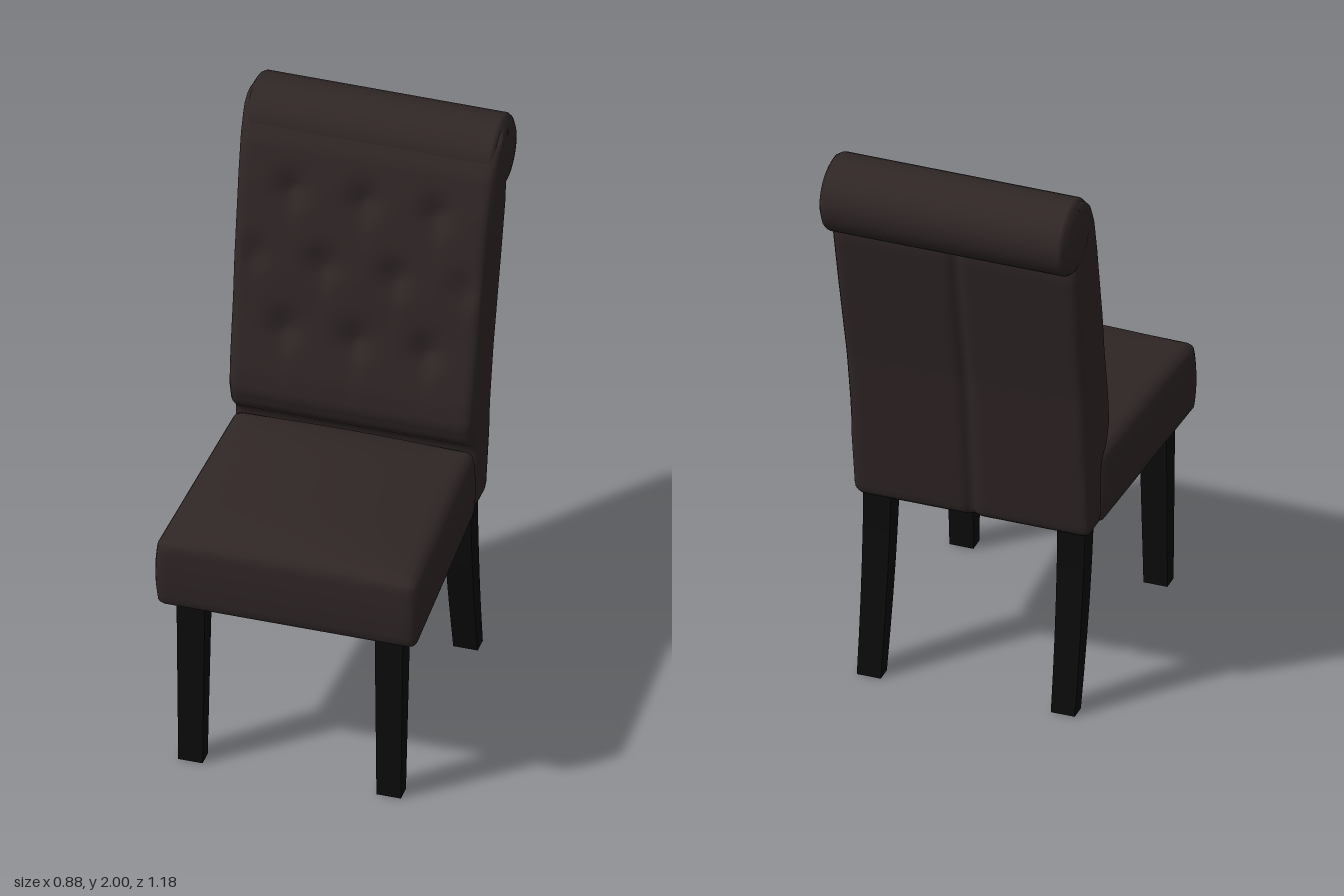
import * as THREE from 'three';
import { mergeVertices } from 'three/addons/utils/BufferGeometryUtils.js';

const fabric = new THREE.MeshStandardMaterial({ name: 'dark brown upholstery', color: 0x302626 });
const wood = new THREE.MeshStandardMaterial({ name: 'black wood', color: 0x0b0b0b, flatShading: true });
const lining = new THREE.MeshStandardMaterial({ name: 'olive lining', color: 0x3a301e });

// Linear interpolation through [y, value] pairs
function along(points, y) {
  for (let i = 1; i < points.length; i++) {
    const [y0, a] = points[i - 1], [y1, b] = points[i];
    if (y <= y1) return a + (b - a) * Math.max(0, (y - y0) / (y1 - y0));
  }
  return points[points.length - 1][1];
}

// Box with rounded edges whose vertices are then moved by a rule
function cushion(size, segments, radius, warp) {
  let geo = new THREE.BoxGeometry(...size, ...segments);
  geo.deleteAttribute('normal');
  geo.deleteAttribute('uv');
  const inner = new THREE.Vector3(...size).multiplyScalar(0.5).subScalar(radius);
  const pos = geo.attributes.position;
  const p = new THREE.Vector3(), core = new THREE.Vector3();
  for (let i = 0; i < pos.count; i++) {
    p.fromBufferAttribute(pos, i);
    core.copy(p).clamp(inner.clone().negate(), inner);
    p.sub(core).setLength(radius).add(core);
    warp(p);
    pos.setXYZ(i, p.x, p.y, p.z);
  }
  geo = mergeVertices(geo);
  geo.computeVertexNormals();
  return geo;
}

// Seat: tapers towards the back, domed on top, slightly bulging sides
function seatGeometry() {
  return cushion([0.86, 0.255, 0.77], [32, 12, 32], 0.025, (p) => {
    const nx = p.x / 0.43, ny = p.y / 0.1275, nz = p.z / 0.385;
    const dome = ny > 0 ? ny * 0.048 * (1 - nx * nx) * (1 - nz ** 4) : 0;
    const bulge = 0.01 * (1 - ny * ny);
    p.x = nx * (0.416 + 0.017 * nz + bulge);
    p.z = 0.2 + p.z + (nz > 0 ? nz * bulge * 0.7 : 0);
    p.y += 0.7525 + dome;
  });
}

// Button positions on the tufted front, in staggered rows
const buttons = [];
[1.24, 1.48, 1.72].forEach((y, row) => {
  const xs = row % 2 ? [-0.36, -0.12, 0.12, 0.36] : [-0.24, 0, 0.24];
  xs.forEach((x) => buttons.push([x, y]));
});

function tuft(x, y) {
  let depth = 0;
  for (const [bx, by] of buttons) {
    const dx = x - bx, dy = y - by;
    depth += 0.024 * Math.exp(-(dx * dx + dy * dy) / 0.003);
    // soft pleat running down from each button
    if (dy < 0) depth += 0.008 * Math.exp(-(dx * dx) / 0.0006) * Math.exp(-(dy * dy) / 0.015);
  }
  return depth;
}

const frontCurve = [[0.64, -0.195], [0.88, -0.195], [0.93, -0.14], [1.0, -0.12], [1.08, -0.13],
  [1.17, -0.15], [1.3, -0.18], [1.45, -0.205], [1.6, -0.24], [1.73, -0.27], [1.86, -0.31],
  [1.94, -0.355], [1.97, -0.39], [1.99, -0.43]];
const rearCurve = [[0.64, -0.305], [0.9, -0.335], [1.2, -0.37], [1.5, -0.43], [1.7, -0.465], [1.99, -0.465]];

// Backrest panel between the front and rear curves
function backGeometry() {
  return cushion([0.84, 1.35, 0.2], [56, 64, 8], 0.035, (p) => {
    const y = p.y + 1.315, nx = p.x / 0.42, nz = p.z / 0.1;
    const t = (y - 0.64) / 1.35;
    let front = along(frontCurve, y), rear = along(rearCurve, y);
    front -= tuft(p.x, y) * (1 - nx ** 6);
    // centre seam in the rear cover
    rear += 0.014 * Math.exp(-(p.x * p.x) / 0.0003);
    p.z = rear + (front - rear) * (nz + 1) / 2;
    p.x = nx * (0.405 + 0.027 * t);
    p.y = y;
  });
}

// Rolled top of the backrest, a bolster with soft ends
function rollGeometry() {
  const end = [[0, 0.437], [0.06, 0.435], [0.1, 0.426], [0.122, 0.414], [0.13, 0.4]];
  const profile = [...end.map(([r, x]) => [r, -x]), ...[...end].reverse()];
  const geo = new THREE.LatheGeometry(profile.map(([r, x]) => new THREE.Vector2(r, x)), 32);
  return geo.rotateZ(Math.PI / 2);
}

// Square leg: centre line and half depth given along the height
function legGeometry(centre, halfDepth) {
  const geo = new THREE.BoxGeometry(2, 0.64, 2, 1, 10, 1).translate(0, 0.32, 0);
  const pos = geo.attributes.position;
  for (let i = 0; i < pos.count; i++) {
    const y = pos.getY(i);
    pos.setX(i, pos.getX(i) * (0.041 + 0.01 * y));
    pos.setZ(i, along(centre, y) + pos.getZ(i) * along(halfDepth, y));
  }
  geo.computeVertexNormals();
  return geo;
}

export function createModel() {
  const group = new THREE.Group();
  const add = (name, geo, mat, x = 0, y = 0, z = 0) => {
    const mesh = new THREE.Mesh(geo, mat);
    mesh.name = name;
    mesh.position.set(x, y, z);
    group.add(mesh);
  };

  add('seat', seatGeometry(), fabric);
  add('backrest', backGeometry(), fabric);
  add('backrestRoll', rollGeometry(), fabric, 0, 1.87, -0.46);

  // Lining under the seat
  const outline = new THREE.Shape([[-0.39, -0.56], [0.39, -0.56], [0.37, 0.16], [-0.37, 0.16]]
    .map(([x, y]) => new THREE.Vector2(x, y)));
  const plate = new THREE.ExtrudeGeometry(outline, { depth: 0.006, bevelEnabled: false });
  add('seatLining', plate.rotateX(-Math.PI / 2), lining, 0, 0.621, 0);

  // Legs, the rear pair sweeping backwards
  const frontLeg = legGeometry([[0, 0.514], [0.64, 0.5]], [[0, 0.028], [0.64, 0.04]]);
  const rearLeg = legGeometry(
    [[0, -0.333], [0.13, -0.308], [0.26, -0.286], [0.39, -0.268], [0.52, -0.254], [0.64, -0.245]],
    [[0, 0.028], [0.4, 0.037], [0.64, 0.04]]);
  for (const side of [1, -1]) {
    const word = side > 0 ? 'Left' : 'Right';
    add('front' + word + 'Leg', frontLeg, wood, side * 0.332);
    add('rear' + word + 'Leg', rearLeg, wood, side * 0.332);
  }
  return group;
}
